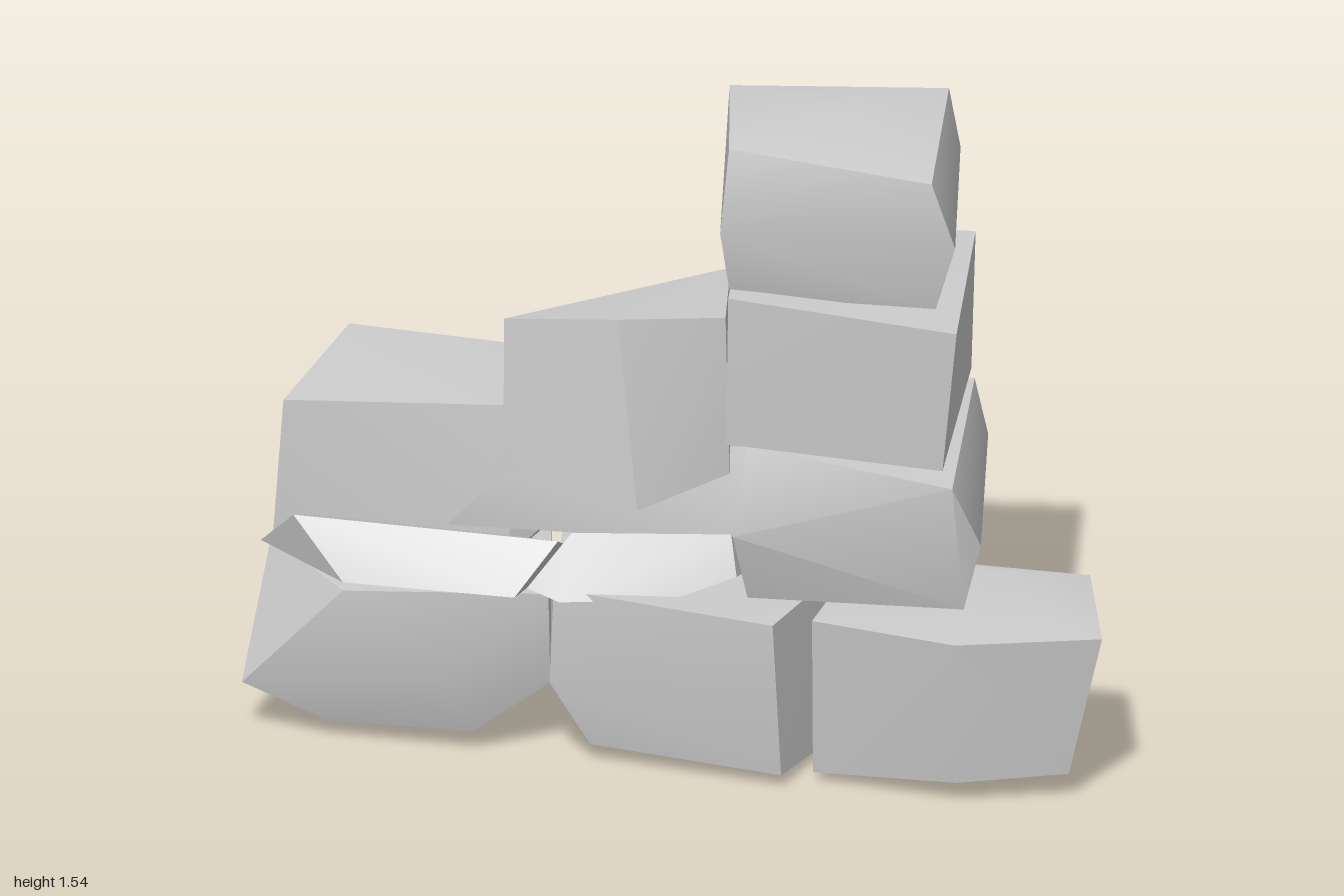
import * as THREE from 'three';
import { ConvexGeometry } from 'three/addons/geometries/ConvexGeometry.js';
import { toCreasedNormals } from 'three/addons/utils/BufferGeometryUtils.js';

const material = new THREE.MeshStandardMaterial({ color: 0xcccccc });

// A rock is the convex hull of its few corners, softened across shallow edges.
function rock(name, corners) {
  const hull = new ConvexGeometry(corners.map((c) => new THREE.Vector3(...c)));
  const mesh = new THREE.Mesh(toCreasedNormals(hull, 0.6), material);
  mesh.name = name;
  return mesh;
}

export function createModel() {
  const group = new THREE.Group();
  group.name = 'rockPile';

  // Bottom course
  group.add(rock('baseRockLeft', [
    [0.34, 0.42, 0.3], [0.69, 0.42, 0.37], [1, 0.41, 0.23], [0.9, 0.44, -0.07],
    [0.67, 0.46, 0], [0.36, 0.43, -0.1], [0.91, 0.25, -0.11],
    [0.33, 0.03, 0.25], [0.68, 0.06, 0.31], [0.92, 0.07, 0.22], [0.8, 0.05, -0.06], [0.36, 0.04, -0.06],
  ]));
  group.add(rock('baseRockMiddle', [
    [-0.27, 0.43, 0.27], [0.26, 0.42, 0.35], [0.33, 0.43, 0.02], [0.24, 0.43, -0.1], [-0.34, 0.42, -0.11],
    [-0.28, 0.2, 0.27], [-0.33, 0.2, -0.12], [0.23, 0.22, -0.12],
    [-0.19, 0.05, 0.25], [0.27, 0.04, 0.31], [0.33, 0.03, 0.02], [-0.25, 0.06, -0.07], [0.23, 0.04, -0.07],
  ]));
  group.add(rock('baseRockRight', [
    [-0.98, 0.41, 0.06], [-0.75, 0.4, 0.32], [-0.28, 0.42, 0.28], [-0.37, 0.42, -0.13], [-0.85, 0.41, -0.1],
    [-1, 0.13, 0.26], [-0.5, 0.2, 0.32], [-0.29, 0.18, 0.22], [-0.38, 0.18, -0.13],
    [-0.8, 0.05, 0.25], [-0.46, 0.06, 0.26], [-0.6, 0.01, -0.07], [-0.84, 0.05, -0.06],
  ]));

  // Thin wedged stones over the bottom course
  group.add(rock('wedgeStoneRight', [
    [-0.98, 0.44, 0.16], [-0.88, 0.55, 0.26], [-0.75, 0.42, 0.32], [-0.35, 0.42, 0.32],
    [-0.27, 0.53, 0.23], [-0.28, 0.42, 0], [-0.85, 0.41, -0.02], [-0.85, 0.48, 0.06],
  ]));
  group.add(rock('wedgeStoneMiddle', [
    [-0.33, 0.43, 0.28], [-0.24, 0.55, 0.22], [0.12, 0.56, 0.17], [0.14, 0.47, 0.2],
    [0, 0.42, 0.25], [-0.25, 0.41, 0.3], [0.14, 0.42, 0], [-0.25, 0.42, 0.02],
  ]));
  group.add(rock('wedgeStoneUpper', [
    [-0.53, 0.54, 0.21], [-0.39, 0.7, 0.21], [0.16, 0.74, 0.06], [0.16, 0.52, 0.12],
    [-0.42, 0.56, -0.05], [0.14, 0.53, -0.08], [0.1, 0.7, -0.08],
  ]));

  // Second course
  group.add(rock('upperRockRight', [
    [-0.92, 0.8, 0.19], [-0.36, 0.83, 0.17], [-0.3, 0.83, -0.18], [-0.86, 0.84, -0.2],
    [-0.95, 0.45, 0.17], [-0.4, 0.46, 0.19], [-0.22, 0.62, 0.03], [-0.34, 0.65, -0.23],
    [-0.32, 0.47, -0.18], [-0.88, 0.44, -0.18],
  ]));
  group.add(rock('leaningRock', [
    [-0.4, 1.055, 0.21], [-0.13, 1.085, 0.23], [0.09, 1.06, 0.1], [0.03, 1.06, -0.2],
    [-0.4, 0.69, 0.22], [-0.08, 0.63, 0.25], [0.1, 0.68, 0.1], [0.04, 0.7, -0.2], [0.03, 0.84, -0.27],
  ]));

  // Tower, from the bottom up
  group.add(rock('towerRockLower', [
    [0.17, 0.8, 0.22], [0.66, 0.76, 0.27], [0.71, 0.6, 0.2], [0.67, 0.44, 0.2], [0.17, 0.43, 0.22],
    [0.15, 0.6, 0.28], [0.14, 0.77, -0.22], [0.58, 0.81, -0.28], [0.59, 0.64, -0.37],
    [0.56, 0.46, -0.26], [0.13, 0.47, -0.24], [0.18, 0.44, -0.15],
  ]));
  group.add(rock('towerRockMiddle', [
    [0.13, 1.165, 0.24], [0.67, 1.14, 0.27], [0.58, 1.165, -0.29], [0.05, 1.17, -0.26],
    [0.12, 0.8, 0.22], [0.63, 0.79, 0.24], [0.57, 0.83, -0.29], [0.06, 0.82, -0.26],
  ]));
  group.add(rock('towerRockTop', [
    [0.12, 1.51, 0.19], [0.6, 1.48, 0.22], [0.65, 1.32, 0.2], [0.6, 1.16, 0.18], [0.12, 1.15, 0.18],
    [0.11, 1.32, 0.235], [0.03, 1.51, -0.19], [0.03, 1.2, -0.2], [0.53, 1.53, -0.24],
    [0.54, 1.36, -0.31], [0.52, 1.18, -0.22], [0.33, 1.555, -0.02],
  ]));

  return group;
}
